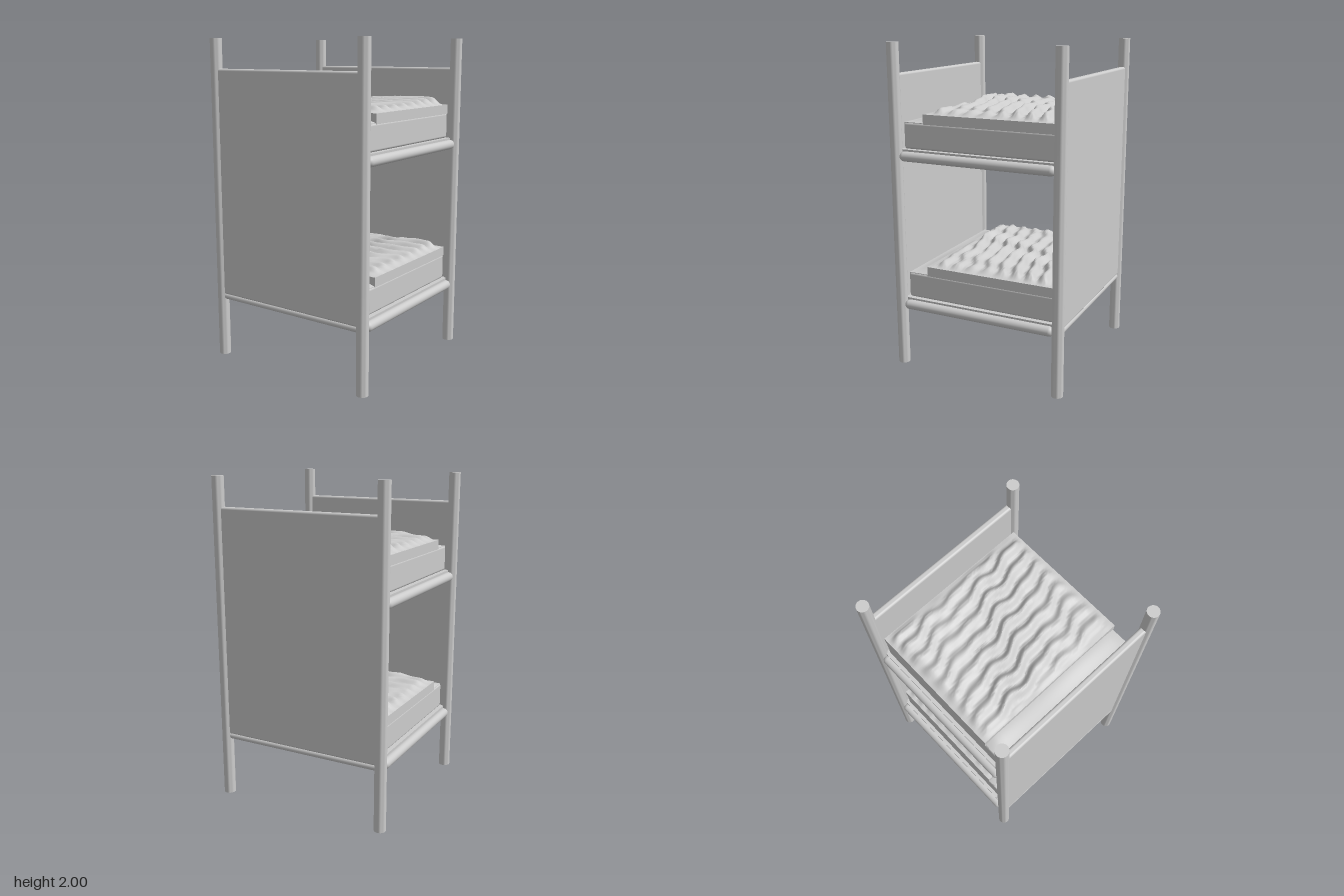
import * as THREE from 'three';
import { toCreasedNormals } from 'three/addons/utils/BufferGeometryUtils.js';
import { RoundedBoxGeometry } from 'three/addons/geometries/RoundedBoxGeometry.js';

const grey = new THREE.MeshStandardMaterial({ color: 0xcccccc });
const POST_X = 0.535, POST_Z = 0.526;

function add(parent, name, geometry, x = 0, y = 0, z = 0) {
  const mesh = new THREE.Mesh(geometry, grey);
  mesh.name = name;
  mesh.position.set(x, y, z);
  parent.add(mesh);
  return mesh;
}

// Fades to 0 at both ends of a span
const fade = (v, lo, hi, w) =>
  THREE.MathUtils.smoothstep(v, lo, lo + w) * (1 - THREE.MathUtils.smoothstep(v, hi - w, hi));

// Box whose top vertices are lifted by height(x, z)
function softSlab(w, h, d, nx, nz, height) {
  const geo = new THREE.BoxGeometry(w, h, d, nx, 1, nz);
  const p = geo.attributes.position;
  for (let i = 0; i < p.count; i++) {
    if (p.getY(i) > 0) p.setY(i, h / 2 + height(p.getX(i), p.getZ(i)));
  }
  return toCreasedNormals(geo, 1.0);
}

// Creased folds running across the bed, slightly slanted and wavering
function folds(x, z) {
  const phase = (z + 0.16 * x + 0.012 * Math.sin(x * 19) + 0.01 * Math.sin(x * 33 + z * 9)) / 0.095;
  const ridge = 0.5 + 0.5 * Math.sin(phase * Math.PI * 2);
  const swell = 0.75 + 0.25 * Math.sin(x * 7 + z * 5 + 1);
  const edge = fade(x, -0.505, 0.505, 0.07) * fade(z, -0.42, 0.42, 0.08);
  return edge * (0.012 + 0.042 * ridge * swell);
}

function createBunk() {
  const bunk = new THREE.Group();
  // Side rails with rounded ends
  for (const s of [-1, 1]) {
    const rail = add(bunk, 'sideRail', new THREE.CapsuleGeometry(0.03, 0.94, 6, 20), s * POST_X, 0.335, 0);
    rail.rotation.x = Math.PI / 2;
  }
  add(bunk, 'bedBase', new THREE.BoxGeometry(1.05, 0.055, 1.02), 0, 0.3475, 0);
  add(bunk, 'mattress', new RoundedBoxGeometry(1.01, 0.16, 0.98, 4, 0.015), 0, 0.455, 0);
  // Soft swelling at the uncovered end of the mattress
  add(bunk, 'pillowEnd', softSlab(1.0, 0.01, 0.16, 30, 10, (x, z) =>
    fade(x, -0.5, 0.5, 0.06) * THREE.MathUtils.smoothstep(-z, -0.08, 0.05) * (0.022 + 0.006 * Math.sin(x * 9))),
  0, 0.53, 0.405);
  add(bunk, 'blanket', softSlab(1.01, 0.06, 0.84, 72, 84, folds), 0, 0.558, -0.065);
  return bunk;
}

export function createModel() {
  const model = new THREE.Group();
  model.name = 'bunkBed';

  // Corner posts
  for (const sx of [-1, 1]) for (const sz of [-1, 1]) {
    add(model, 'post', toCreasedNormals(new THREE.CylinderGeometry(0.036, 0.036, 2, 32), 0.7), sx * POST_X, 1, sz * POST_Z);
  }

  // End panels with a rail underneath
  for (const s of [-1, 1]) {
    add(model, 'endPanel', new RoundedBoxGeometry(1.04, 1.415, 0.04, 4, 0.014), 0, 1.1125, s * POST_Z);
    const rail = add(model, 'endRail', new THREE.CylinderGeometry(0.02, 0.02, 1.04, 20), 0, 0.39, s * POST_Z);
    rail.rotation.z = Math.PI / 2;
  }

  // Lower and upper bunks
  [['lowerBunk', 0.06], ['upperBunk', 1]].forEach(([name, y]) => {
    const bunk = createBunk();
    bunk.name = name;
    bunk.position.y = y;
    model.add(bunk);
  });
  return model;
}
